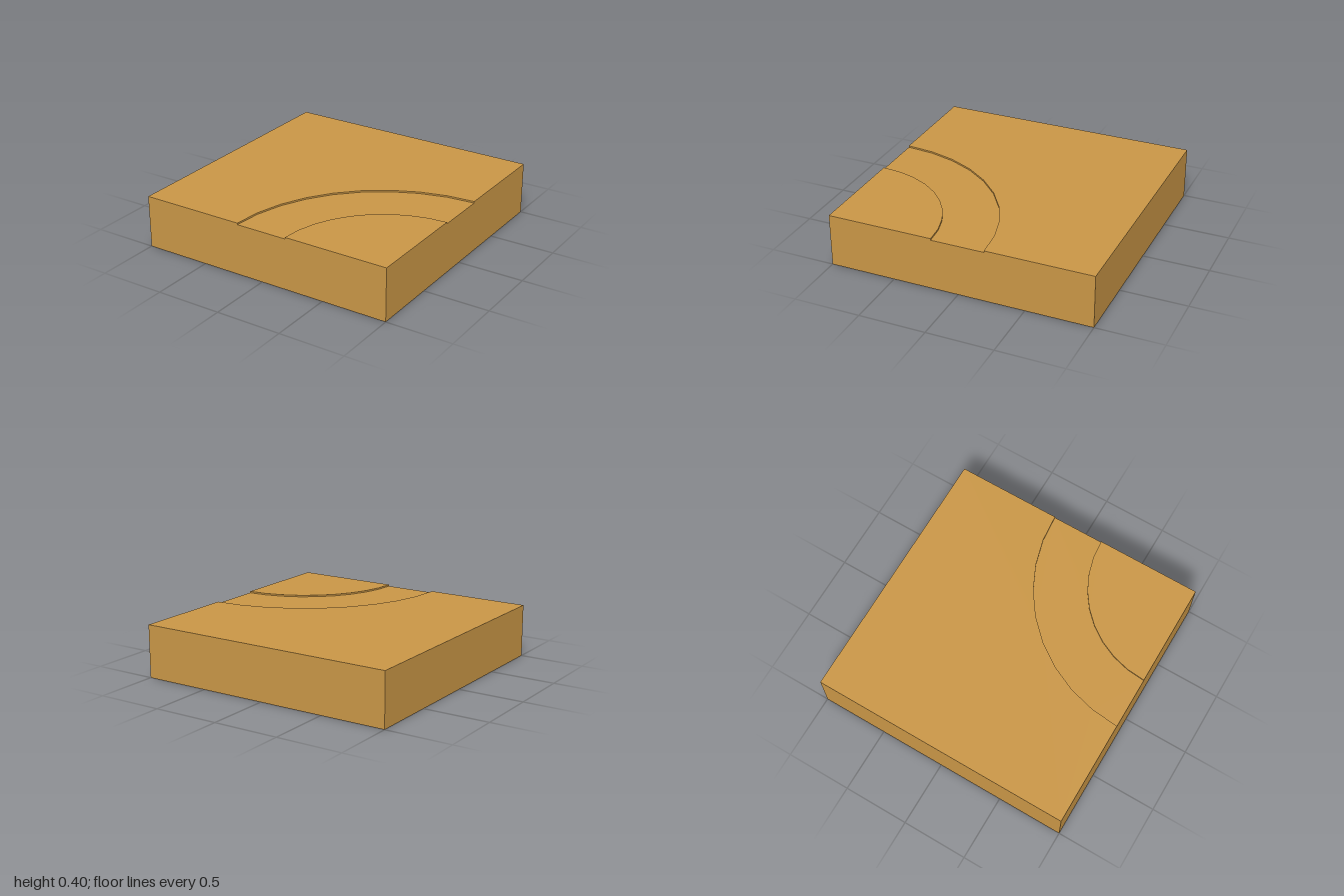
import * as THREE from 'three';

const TOP = 0.4, ROAD = 0.388;      // tile surface and sunken path heights
const OUTER = 1.2, INNER = 0.8;     // path radii about the front corner (1, 1)
const SEG = 9;                      // ten degrees per facet

export function createModel() {
  const group = new THREE.Group();
  const material = new THREE.MeshStandardMaterial({ color: 0xc99646, side: THREE.DoubleSide });

  const add = (name, geometry) => {
    const mesh = new THREE.Mesh(geometry, material);
    mesh.name = name;
    group.add(mesh);
    return mesh;
  };

  // Quarter arc in plan (plan y is -z), from the front edge to the right edge
  const arc = (r) => Array.from({ length: SEG + 1 }, (_, i) => {
    const a = Math.PI - (i / SEG) * Math.PI / 2;
    return new THREE.Vector2(1 + r * Math.cos(a), -1 + r * Math.sin(a));
  });
  const flat = (points) => new THREE.ShapeGeometry(new THREE.Shape(points));
  const corner = (x, y) => new THREE.Vector2(x, y);

  // Horizontal surfaces
  const slab = (name, points, y) =>
    add(name, flat(points).rotateX(-Math.PI / 2).translate(0, y, 0));
  slab('field', [corner(-1, -1), ...arc(OUTER), corner(1, 1), corner(-1, 1)], TOP);
  slab('path', [...arc(OUTER), ...arc(INNER).reverse()], ROAD);
  slab('cornerField', [corner(1, -1), ...arc(INNER)], TOP);

  // Low curved steps on both sides of the path
  for (const [name, r] of [['outerStep', OUTER], ['innerStep', INNER]]) {
    const step = new THREE.CylinderGeometry(r, r, TOP - ROAD, SEG, 1, true, Math.PI, Math.PI / 2);
    add(name, step.translate(1, (TOP + ROAD) / 2, 1));
  }

  // Side walls; the path cuts a shallow notch in the front and right ones
  const half = OUTER - 1;
  const notch = [corner(half, TOP), corner(half, ROAD), corner(-half, ROAD), corner(-half, TOP)];
  ['frontWall', 'rightWall', 'backWall', 'leftWall'].forEach((name, i) => {
    const outline = [corner(-1, 0), corner(1, 0), corner(1, TOP),
      ...(i < 2 ? notch : []), corner(-1, TOP)];
    add(name, flat(outline).translate(0, 0, 1).rotateY(i * Math.PI / 2));
  });

  return group;
}
